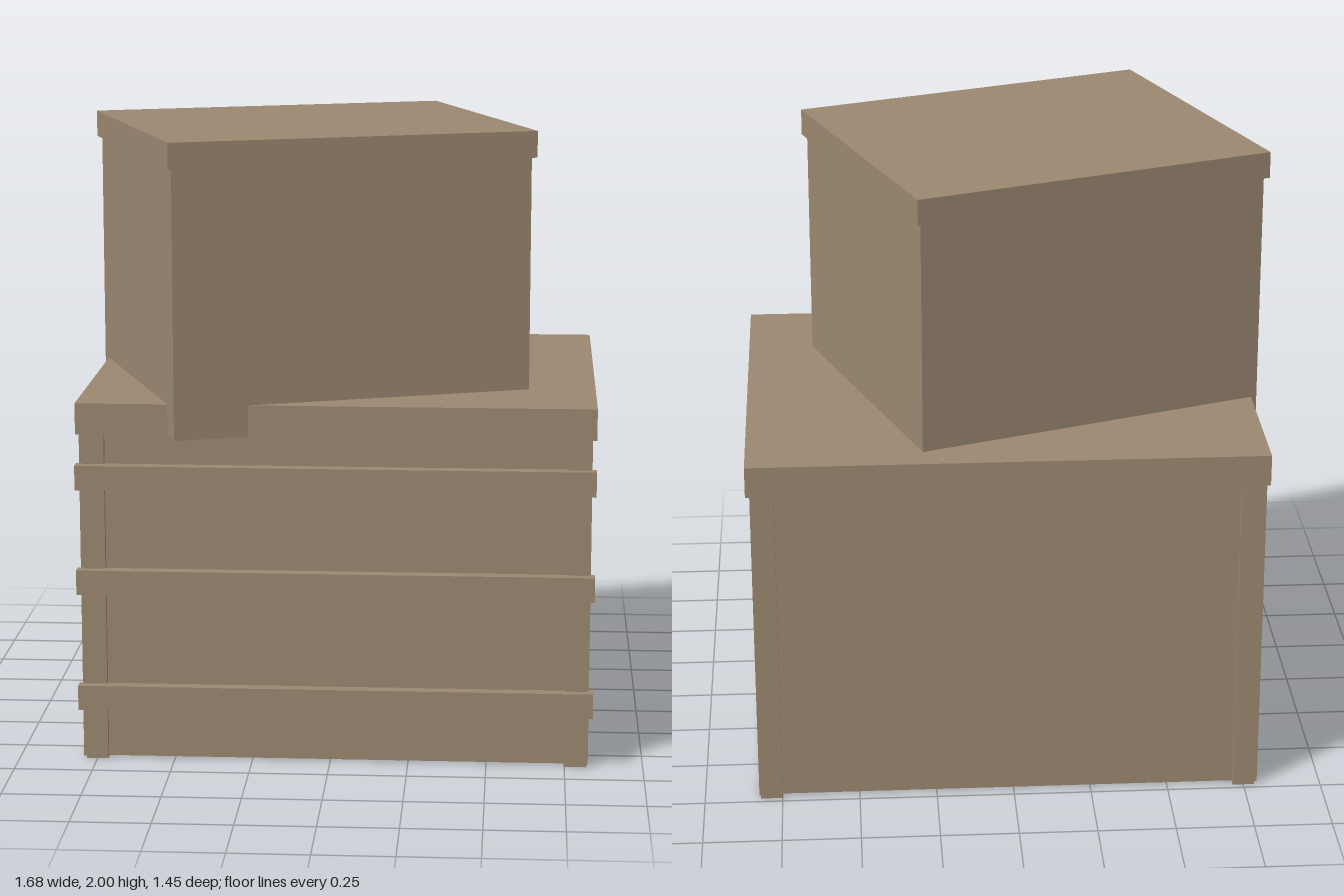
import * as THREE from 'three';

const wood = new THREE.MeshStandardMaterial({ color: 0x9b8770, flatShading: true });

// Box given by its minimum and maximum on each axis
function box(parent, name, [x0, x1], [y0, y1], [z0, z1]) {
  const mesh = new THREE.Mesh(new THREE.BoxGeometry(x1 - x0, y1 - y0, z1 - z0), wood);
  mesh.position.set((x0 + x1) / 2, (y0 + y1) / 2, (z0 + z1) / 2);
  mesh.name = name;
  parent.add(mesh);
}

export function createModel() {
  const model = new THREE.Group();
  model.name = 'stackedCrates';

  // Large lower crate: recessed front and back panels between corner posts
  const lower = new THREE.Group();
  lower.name = 'lowerCrate';
  model.add(lower);
  box(lower, 'lowerBody', [-0.78, 0.815], [0.005, 1.07], [-0.71, 0.605]);
  for (const [side, x] of [['right', [-0.785, -0.715]], ['left', [0.75, 0.82]]]) {
    box(lower, side + 'FrontPost', x, [0, 1.065], [0.56, 0.625]);
    box(lower, side + 'BackPost', x, [0, 1.065], [-0.73, -0.66]);
  }
  // Side panels stand slightly proud of the posts
  box(lower, 'rightSidePanel', [-0.795, -0.775], [0.005, 1.065], [-0.72, 0.615]);
  box(lower, 'leftSidePanel', [0.805, 0.825], [0.005, 1.065], [-0.72, 0.615]);
  box(lower, 'lowerLid', [-0.805, 0.838], [1.065, 1.165], [-0.73, 0.625]);

  // Horizontal slats across the front
  for (const y of [0.17, 0.55, 0.89]) {
    box(lower, 'frontSlat', [-0.805, 0.838], [y, y + 0.08], [0.615, 0.655]);
  }

  // Smaller upper crate, turned and overhanging the front edge
  const upper = new THREE.Group();
  upper.name = 'upperCrate';
  upper.position.set(-0.1, 0, 0.036);
  upper.rotation.y = THREE.MathUtils.degToRad(20);
  box(upper, 'upperBody', [-0.588, 0.588], [1.065, 1.92], [-0.5, 0.5]);
  box(upper, 'upperLid', [-0.602, 0.602], [1.915, 2], [-0.514, 0.514]);
  model.add(upper);

  return model;
}
